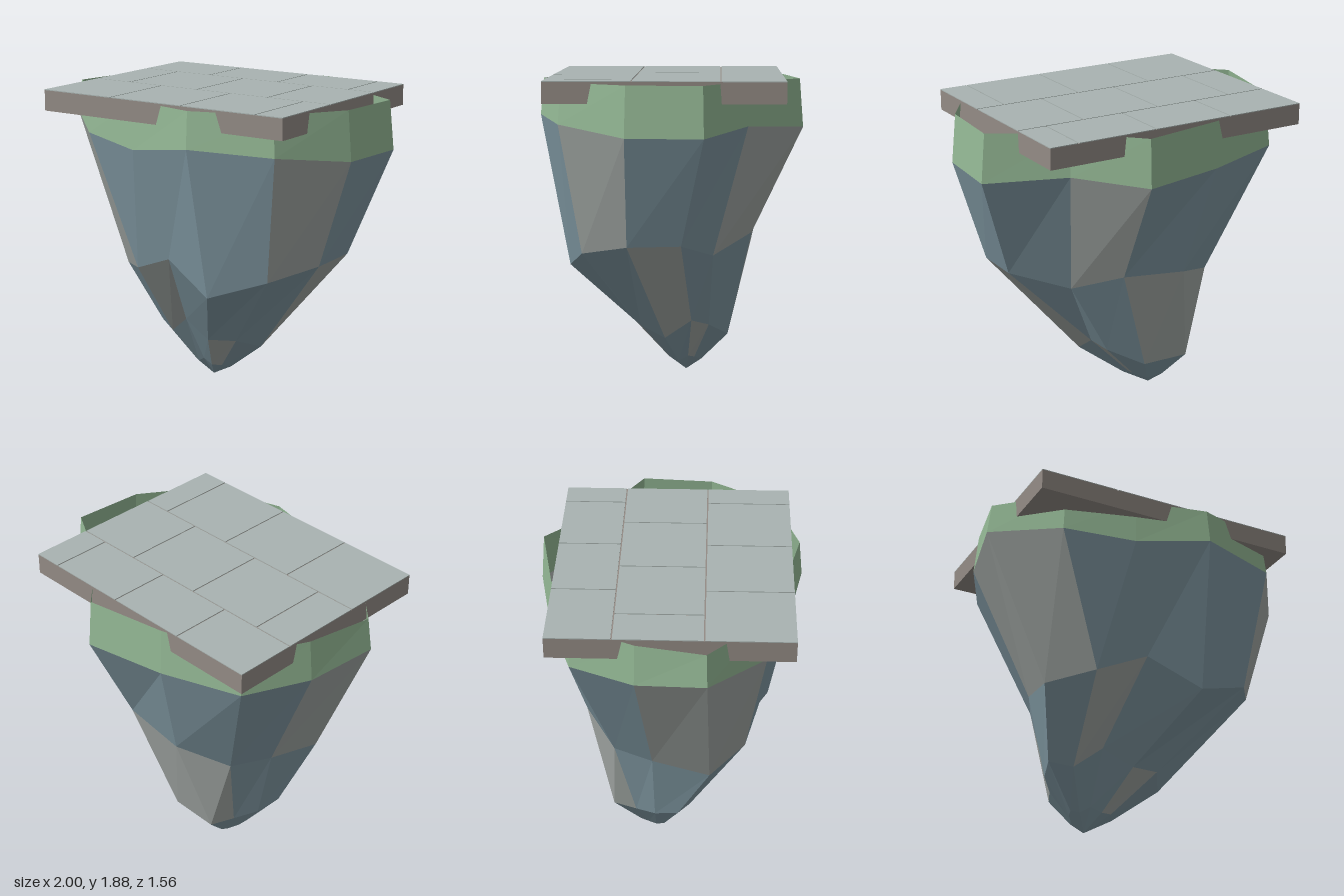
import * as THREE from 'three';

function material(name, color, side = THREE.FrontSide) {
  const m = new THREE.MeshStandardMaterial({ color, flatShading: true, side });
  m.name = name;
  return m;
}

// Facets between two rings of points, for the chosen columns only
function band(name, lower, upper, columns, mat) {
  const pos = [];
  const n = lower.length;
  for (const i of columns) {
    const j = (i + 1) % n;
    pos.push(...lower[i], ...lower[j], ...upper[j]);
    pos.push(...lower[i], ...upper[j], ...upper[i]);
  }
  const g = new THREE.BufferGeometry();
  g.setAttribute('position', new THREE.Float32BufferAttribute(pos, 3));
  g.computeVertexNormals();
  const mesh = new THREE.Mesh(g, mat);
  mesh.name = name;
  return mesh;
}

export function createModel() {
  const group = new THREE.Group();
  group.name = 'floatingIsland';

  const grass = material('grassGreen', 0x93b794, THREE.DoubleSide);
  const blueRock = material('blueRock', 0x7f97a1, THREE.DoubleSide);
  const greyRock = material('greyRock', 0xa0a6a3, THREE.DoubleSide);
  const mortar = material('slabBrown', 0x938b85);
  const paving = material('pavingGrey', 0xa9b3b1);

  // Cross-sections of the rock, starting at the -x corner and passing the front
  const shoulder = [
    [-1, 1.67, 0.23], [-0.65, 1.62, 0.56], [-0.23, 1.58, 0.68], [0.22, 1.65, 0.78],
    [0.71, 1.63, 0.63], [0.97, 1.575, 0.24], [1, 1.575, -0.2], [0.57, 1.61, -0.45],
    [0.24, 1.58, -0.78], [-0.26, 1.59, -0.69], [-0.74, 1.61, -0.54], [-0.92, 1.62, -0.17],
  ];
  const waist = [
    [-0.61, 0.75, 0.25], [-0.375, 0.8, 0.46], [-0.085, 0.915, 0.54], [0.24, 0.745, 0.61],
    [0.59, 0.87, 0.51], [0.77, 0.935, 0.24], [0.78, 0.945, -0.07], [0.46, 0.84, -0.25],
    [0.235, 0.945, -0.48], [-0.17, 0.905, -0.5], [-0.445, 0.81, -0.32], [-0.56, 0.81, -0.09],
  ];
  const foot = [
    [-0.49, 0.35, 0.06], [-0.36, 0.315, 0.13], [-0.205, 0.435, 0.2], [-0.02, 0.34, 0.23],
    [0.16, 0.355, 0.19], [0.245, 0.295, 0.04], [0.25, 0.405, -0.12], [0.2, 0.37, -0.225],
    [0, 0.27, -0.34], [-0.3, 0.265, -0.34], [-0.36, 0.27, -0.2], [-0.45, 0.31, -0.08],
  ];
  const tip = [-0.19, 0, -0.08];
  const point = foot.map(([x, y, z]) => [
    tip[0] + (x - tip[0]) * 0.37, y * 0.3, tip[2] + (z - tip[2]) * 0.37,
  ]);
  const rim = shoulder.map(([x, , z]) => [x * 0.972, 1.865, z * 0.972]);

  // Rock bands, each with its grey columns; the other columns are blue
  const all = shoulder.map((_, i) => i);
  const bands = [
    ['upperRock', waist, shoulder, [0, 4, 7, 11]],
    ['lowerRock', foot, waist, [1, 5, 8, 9]],
    ['footRock', point, foot, [3, 6]],
  ];
  for (const [name, low, high, grey] of bands) {
    group.add(band(name + 'Grey', low, high, grey, greyRock));
    group.add(band(name + 'Blue', low, high, all.filter((i) => !grey.includes(i)), blueRock));
  }

  // Pointed end closing on one vertex
  const end = [];
  for (const i of all) end.push(...tip, ...point[(i + 1) % 12], ...point[i]);
  const endGeometry = new THREE.BufferGeometry();
  endGeometry.setAttribute('position', new THREE.Float32BufferAttribute(end, 3));
  endGeometry.computeVertexNormals();
  const endMesh = new THREE.Mesh(endGeometry, blueRock);
  endMesh.name = 'rockTip';
  group.add(endMesh);

  // Grass band around the open top
  group.add(band('grassRim', shoulder, rim, all, grass));

  // Paved slab
  const x0 = -0.86, x1 = 0.81, z0 = -0.66, z1 = 0.71;
  const box = (name, ax, bx, ay, by, az, bz, mat) => {
    const mesh = new THREE.Mesh(new THREE.BoxGeometry(bx - ax, by - ay, bz - az), mat);
    mesh.position.set((ax + bx) / 2, (ay + by) / 2, (az + bz) / 2);
    mesh.name = name;
    group.add(mesh);
  };
  box('slab', x0, x1, 1.753, 1.876, z0, z1, mortar);

  // Paving stones in staggered rows
  const gap = 0.004;
  const rows = [z0, -0.292, 0.21, z1];
  for (let r = 0; r < 3; r++) {
    const first = r === 1 ? -0.61 : -0.365;
    const cuts = [x0, first, first + 0.5, first + 1, x1];
    for (let c = 0; c < 4; c++) {
      box('pavingStone',
        cuts[c] + (c > 0 ? gap : 0), cuts[c + 1] - (c < 3 ? gap : 0), 1.876, 1.881,
        rows[r] + (r > 0 ? gap : 0), rows[r + 1] - (r < 2 ? gap : 0), paving);
    }
  }
  return group;
}
